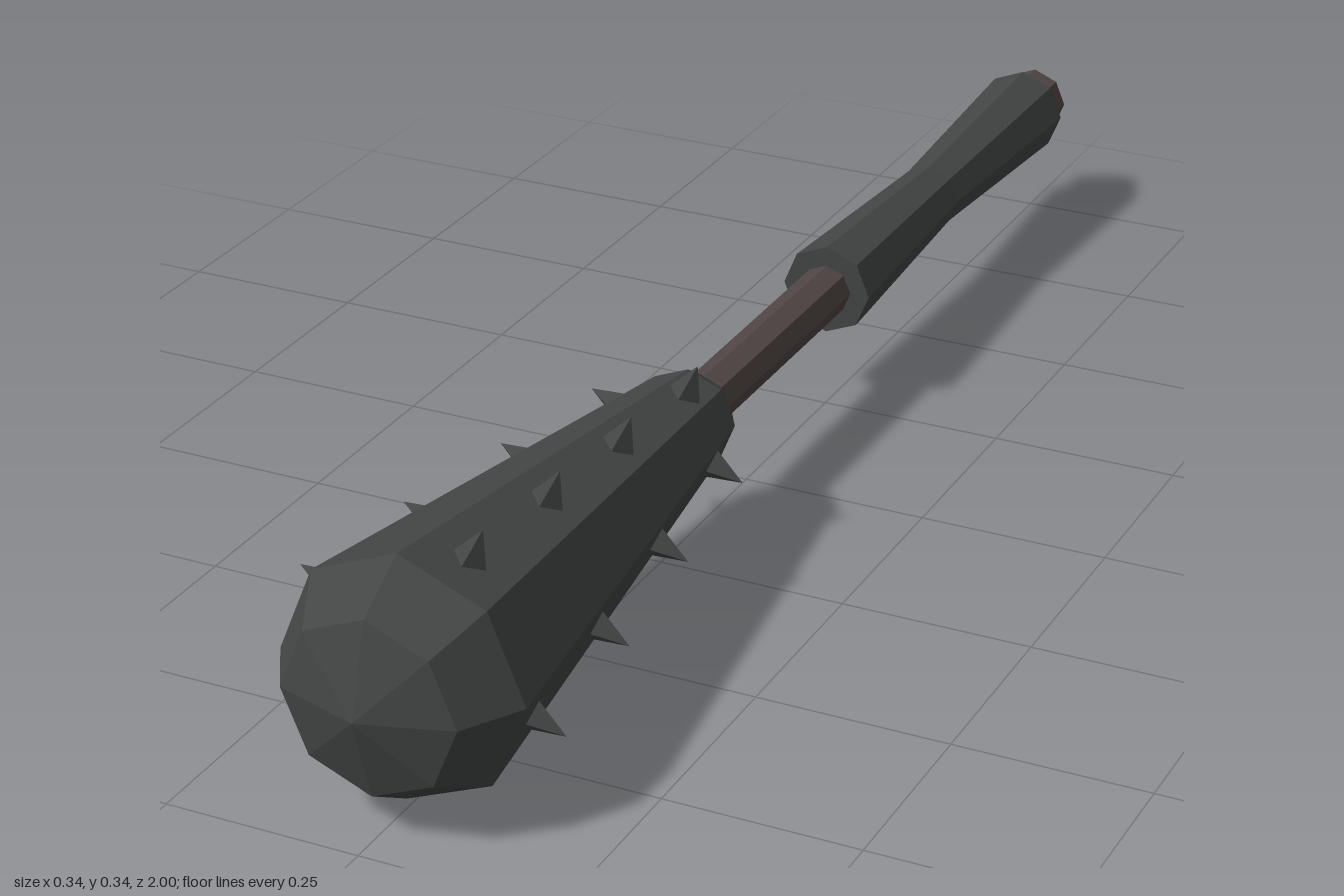
import * as THREE from 'three';

const AXIS_Y = 0.17;
const SIDES = 8;

export function createModel() {
  const club = new THREE.Group();
  club.name = 'spikedClub';

  const iron = new THREE.MeshStandardMaterial({ color: 0x434645, flatShading: true });
  const wood = new THREE.MeshStandardMaterial({ color: 0x504544, flatShading: true });

  // Octagonal turned part; profile is [radius, z] from back to front
  function turned(name, profile, material) {
    const points = profile.map(([r, z]) => new THREE.Vector2(r, z));
    const geometry = new THREE.LatheGeometry(points, SIDES);
    geometry.rotateX(Math.PI / 2);
    const mesh = new THREE.Mesh(geometry, material);
    mesh.name = name;
    mesh.position.y = AXIS_Y;
    club.add(mesh);
  }

  // Head: widens forward to a blunt, faceted nose
  turned('head', [[0, 0.14], [0.047, 0.14], [0.065, 0.17], [0.157, 0.89], [0.112, 0.965], [0, 1]], iron);

  // Shaft with a wider butt behind the grip
  turned('shaft', [[0, -1], [0.048, -1], [0.048, -0.94], [0.035, -0.9], [0.035, 0.15]], wood);

  // Grip: narrow in the middle, flared at both ends
  turned('grip', [[0.03, -0.95], [0.062, -0.95], [0.045, -0.6], [0.062, -0.25], [0.03, -0.25]], iron);

  // Spikes: four rows, on every other face of the head
  const spikes = new THREE.Group();
  spikes.name = 'spikes';
  spikes.position.y = AXIS_Y;
  const spikeGeometry = new THREE.ConeGeometry(0.026, 0.055, 4);
  for (let row = 0; row < 4; row++) {
    const angle = Math.PI / 8 + row * Math.PI / 2;
    for (let i = 0; i < 4; i++) {
      const z = 0.23 + i * 0.197;
      const faceRadius = (0.065 + (z - 0.17) * 0.128) * Math.cos(Math.PI / SIDES);
      const spike = new THREE.Mesh(spikeGeometry, iron);
      spike.name = 'spike';
      spike.rotation.z = angle;
      spike.position.set(-Math.sin(angle), Math.cos(angle), 0).multiplyScalar(faceRadius + 0.0185);
      spike.position.z = z;
      spikes.add(spike);
    }
  }
  // Rows sit on the faces leaning towards the model's left
  spikes.rotation.z = -Math.PI / 4;
  club.add(spikes);

  return club;
}
